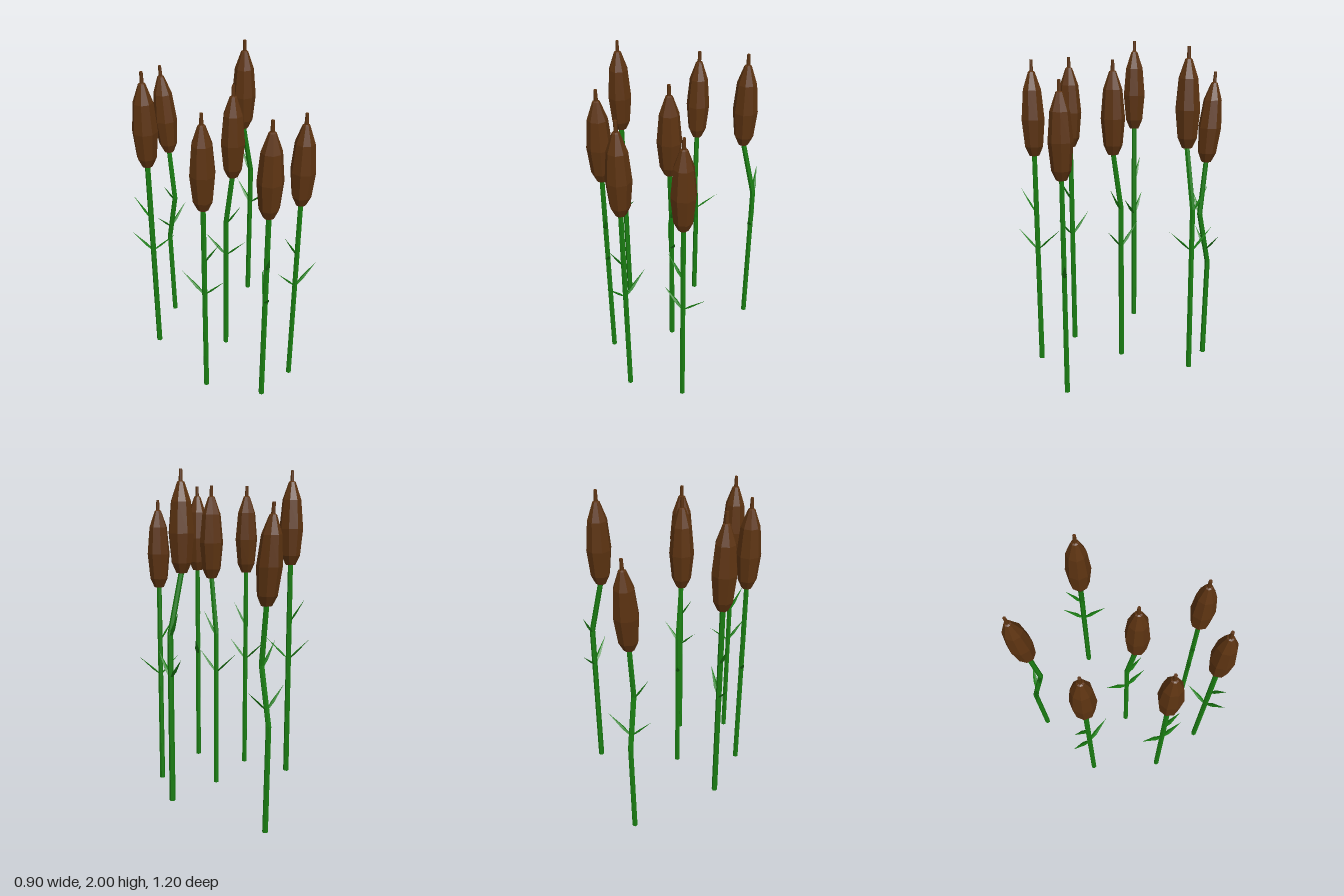
import * as THREE from 'three';

const green = new THREE.MeshStandardMaterial({ color: 0x1a7d12, flatShading: true });
const brown = new THREE.MeshStandardMaterial({ color: 0x5c3311, flatShading: true });

// Heights of the stem joints, from root to tip of the flower spike
const JOINTS = [0, 0.63, 0.96, 1.29, 1.83];

// Per plant: root position, leaf direction (x, z), and sideways shift at each joint
const PLANTS = [
  { root: [0.035, 0, -0.53], leaf: [-1, 0.03], dz: [0, -0.015, 0.053, 0.018, -0.03] },
  { root: [-0.375, 0.17, -0.223], leaf: [-0.62, -0.78] },
  { root: [0.43, 0.165, -0.18], leaf: [0.06, -1], dx: [0, 0, 0, -0.077, -0.077] },
  { root: [-0.025, 0.085, 0.04], leaf: [0.35, 0.94], dz: [0, 0, 0, 0.05, 0.05] },
  { root: [-0.38, 0.085, 0.215], leaf: [0.35, 0.94] },
  { root: [-0.2, 0.085, 0.51], leaf: [-0.65, 0.76] },
  { root: [0.12, 0, 0.467], leaf: [-0.95, -0.32] },
];

// Sideways shift at height y, straight between joints
function shiftAt(shifts, y) {
  if (!shifts) return 0;
  let i = 0;
  while (i < JOINTS.length - 2 && y > JOINTS[i + 1]) i++;
  const t = (y - JOINTS[i]) / (JOINTS[i + 1] - JOINTS[i]);
  return THREE.MathUtils.lerp(shifts[i], shifts[i + 1], t);
}

// Turned shape whose rings follow the bends of the plant
function bentLathe(profile, sides, plant, phi) {
  const geo = new THREE.LatheGeometry(profile.map(([r, y]) => new THREE.Vector2(r, y)), sides, phi);
  const p = geo.attributes.position;
  for (let i = 0; i < p.count; i++) {
    const y = p.getY(i);
    p.setX(i, p.getX(i) + shiftAt(plant.dx, y));
    p.setZ(i, p.getZ(i) + shiftAt(plant.dz, y));
  }
  return geo;
}

// Pointed, flattened blade leaning out from the stem
function makeLeaf(plant, y, reach, rise, sign) {
  const dir = new THREE.Vector2(...plant.leaf).normalize().multiplyScalar(sign);
  const length = Math.hypot(reach, rise);
  const blade = new THREE.LatheGeometry(
    [[0, 0], [0.008, 0.02], [0.013, length * 0.35], [0, length]].map(([r, h]) => new THREE.Vector2(r, h)), 4);
  blade.scale(0.45, 1, 1);
  blade.rotateZ(-Math.atan2(reach, rise));
  blade.rotateY(-Math.atan2(dir.y, dir.x));
  const leaf = new THREE.Mesh(blade, green);
  leaf.position.set(shiftAt(plant.dx, y), y, shiftAt(plant.dz, y));
  return leaf;
}

function makePlant(plant) {
  const group = new THREE.Group();
  const phi = Math.atan2(plant.leaf[0], plant.leaf[1]);

  const stem = new THREE.Mesh(bentLathe(
    [[0, 0], [0.017, 0], [0.016, 0.63], [0.016, 0.96], [0.015, 1.3]], 6, plant, phi), green);
  stem.name = 'stem';

  // Seed head with the thin spike on top
  const head = new THREE.Mesh(bentLathe(
    [[0, 1.29], [0.03, 1.29], [0.055, 1.345], [0.07, 1.5], [0.055, 1.665],
      [0.02, 1.765], [0.011, 1.77], [0.009, 1.83], [0, 1.83]], 8, plant, phi), brown);
  head.name = 'seedHead';

  // A pair of lower leaves and a single upper one
  const leaves = new THREE.Group();
  leaves.name = 'leaves';
  leaves.add(
    makeLeaf(plant, 0.715, 0.122, 0.13, 1),
    makeLeaf(plant, 0.715, 0.14, 0.13, -1),
    makeLeaf(plant, 0.94, 0.092, 0.15, 1));

  group.add(stem, head, leaves);
  group.position.set(...plant.root);
  return group;
}

export function createModel() {
  const model = new THREE.Group();
  model.name = 'reeds';
  PLANTS.forEach((plant, i) => {
    const reed = makePlant(plant);
    reed.name = `reed${i + 1}`;
    model.add(reed);
  });
  return model;
}
